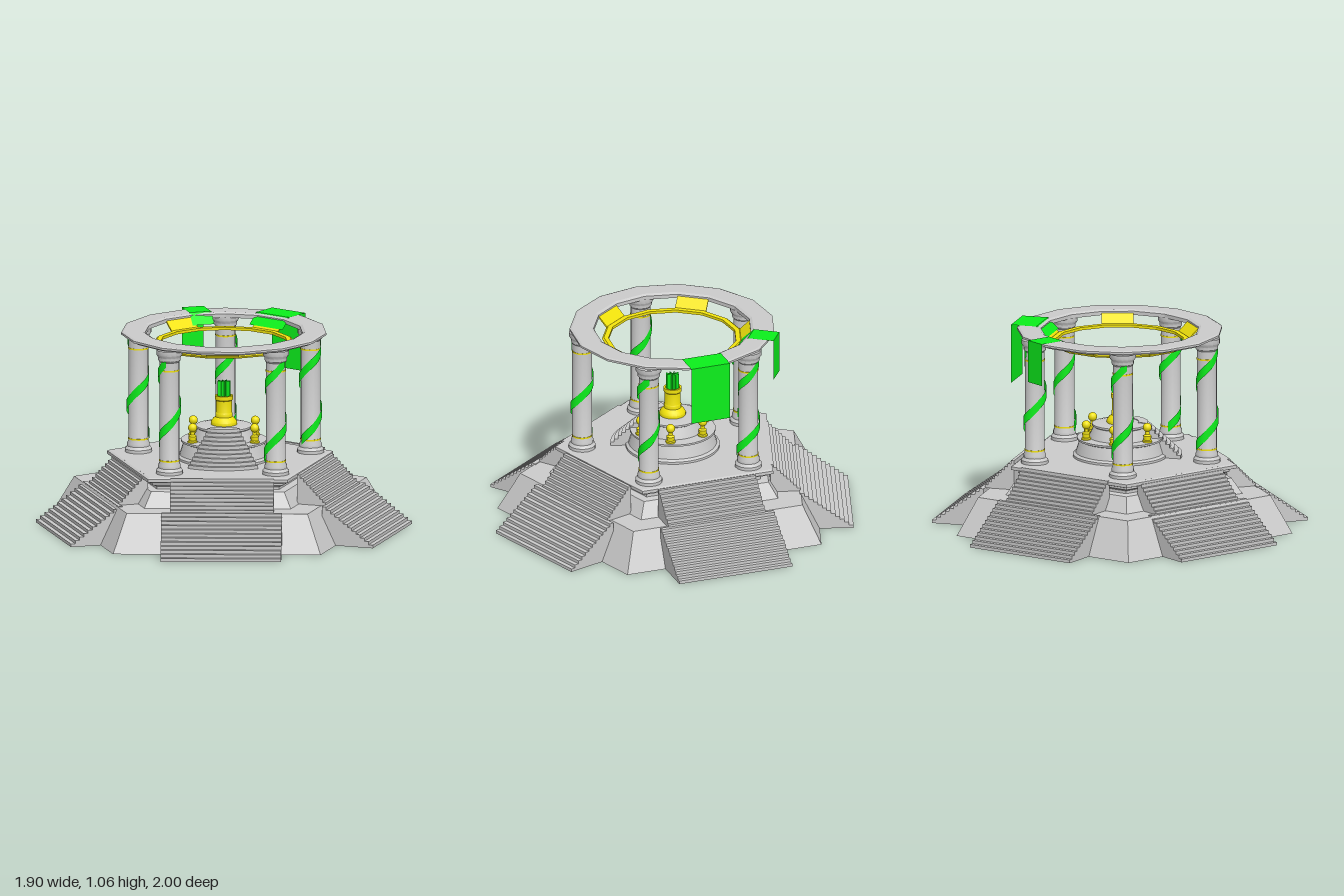
import * as THREE from 'three';
import { toCreasedNormals } from 'three/addons/utils/BufferGeometryUtils.js';

const TAU = Math.PI * 2;
const mat = (color, flatShading = false) =>
  new THREE.MeshStandardMaterial({ color, flatShading, side: THREE.DoubleSide });
const stone = mat(0xcccccc), facetedStone = mat(0xcccccc, true);
const gold = mat(0xf2e30c), facetedGold = mat(0xf2e30c, true);
const green = mat(0x0cf01c);

function add(parent, name, geometry, material) {
  const mesh = new THREE.Mesh(geometry, material);
  mesh.name = name;
  parent.add(mesh);
  return mesh;
}

// Group turned about the centre; its +x axis points outward
function spoke(parent, name, degrees) {
  const g = new THREE.Group();
  g.name = name;
  g.rotation.y = THREE.MathUtils.degToRad(degrees);
  parent.add(g);
  return g;
}

// Lathe from [radius, y] pairs, with the first corner on +x
function turned(profile, sides) {
  const pts = profile.map(([r, y]) => new THREE.Vector2(r, y));
  return toCreasedNormals(new THREE.LatheGeometry(pts, sides, Math.PI / 2), 0.6);
}

// Solid flight of steps climbing inward from r0 to r1
function stairs(r0, r1, y0, y1, steps, halfWidth) {
  const s = new THREE.Shape();
  s.moveTo(r1, y0);
  s.lineTo(r0, y0);
  for (let i = 0; i < steps; i++) {
    const r = r0 + ((r1 - r0) * i) / steps;
    const y = y0 + ((y1 - y0) * (i + 1)) / steps;
    s.lineTo(r, y);
    s.lineTo(r + (r1 - r0) / steps, y);
  }
  s.closePath();
  return new THREE.ExtrudeGeometry(s, { depth: halfWidth * 2, bevelEnabled: false })
    .translate(0, 0, -halfWidth);
}

// Vine ribbon winding up a column
function vine() {
  const g = new THREE.PlaneGeometry(1, 1, 48, 1);
  const p = g.attributes.position;
  for (let i = 0; i < p.count; i++) {
    const t = p.getX(i) + 0.5;
    const y = 0.43 + 0.54 * t;
    const a = ((y - 0.5) / 0.36) * TAU;
    const r = 0.059 + 0.004 * Math.sin(t * 25);
    p.setXYZ(i, Math.sin(a) * r, y + p.getY(i) * 0.055, Math.cos(a) * r);
  }
  g.computeVertexNormals();
  return g;
}

// Cloth strip draped over the roof ring, following [radius, y] points
function drape(path, halfWidth) {
  const g = new THREE.PlaneGeometry(1, 1, path.length - 1, 1);
  const p = g.attributes.position;
  for (let i = 0; i < p.count; i++) {
    const [r, y] = path[i % path.length];
    p.setXYZ(i, r, y, Math.sign(p.getY(i)) * halfWidth);
  }
  return toCreasedNormals(g, 0.3);
}

// Altar steps: stacked sectors of a disc
function sector(r, a0, a1, height) {
  const s = new THREE.Shape();
  s.absarc(0, 0, r, a0, a1, false);
  s.absarc(0, 0, 0.1, a1, a0, true);
  return new THREE.ExtrudeGeometry(s, { depth: height, bevelEnabled: false, curveSegments: 10 })
    .rotateX(-Math.PI / 2);
}

export function createModel() {
  const model = new THREE.Group();
  model.name = 'pavilion';
  model.position.x = -0.01;
  const root = new THREE.Group();
  root.name = 'temple';
  root.add(model);

  // Hollow, tiered five-sided base
  const base = add(model, 'base', turned([
    [0.936, 0], [0.815, 0.2], [0.66, 0.2], [0.6, 0.28], [0.55, 0.285], [0.55, 0.3],
    [0.59, 0.315], [0.59, 0.325], [0.63, 0.335], [0.63, 0.352], [0.615, 0.358], [0.001, 0.358],
  ], 5), facetedStone);
  base.position.x = -0.025;

  // Two flights of stairs on each side
  for (let i = 0; i < 5; i++) {
    const side = spoke(model, 'stairs', 36 + i * 72);
    add(side, 'lowerStairs', stairs(0.945, 0.66, 0, 0.205, 12, 0.32), facetedStone);
    add(side, 'upperStairs', stairs(0.665, 0.505, 0.2, 0.358, 9, 0.275), facetedStone);
  }

  // Columns with gold bands and vines
  const columnShape = turned([
    [0.072, 0.355], [0.072, 0.375], [0.06, 0.39], [0.06, 0.405], [0.053, 0.42], [0.053, 0.965],
    [0.06, 0.975], [0.06, 0.99], [0.07, 1.005], [0.07, 1.03],
  ], 16);
  const vineShape = vine();
  for (let i = 0; i < 5; i++) {
    const column = new THREE.Group();
    column.name = 'column';
    column.position.x = 0.48;
    spoke(model, 'columnPlace', i * 72).add(column);
    add(column, 'shaft', columnShape, stone);
    add(column, 'vine', vineShape, green);
    for (const y of [0.43, 0.92])
      add(column, 'band', new THREE.CylinderGeometry(0.055, 0.055, 0.008, 16), gold).position.y = y;
  }

  // Roof ring and the gold ring held inside it by sloping panels
  add(model, 'roofRing', turned([
    [0.42, 1.025], [0.52, 1.025], [0.527, 1.037], [0.547, 1.037], [0.547, 1.048],
    [0.535, 1.053], [0.435, 1.053], [0.42, 1.045], [0.42, 1.025],
  ], 15), facetedStone);
  add(model, 'goldRing', turned([
    [0.34, 0.975], [0.37, 0.975], [0.375, 0.985], [0.365, 0.992], [0.34, 0.99], [0.34, 0.975],
  ], 15), facetedGold);
  for (let i = 0; i < 5; i++) {
    const panel = add(spoke(model, 'panelPlace', 36 + i * 72), 'goldPanel',
      new THREE.BoxGeometry(0.08, 0.008, 0.17), facetedGold);
    panel.position.set(0.387, 1.008, 0);
    panel.rotation.z = 0.75;
  }

  // Draped cloths
  const clothPath = (bottom) => [[0.37, 1.0], [0.43, 1.057], [0.57, 1.057], [0.57, bottom]];
  add(spoke(model, 'wideClothPlace', 36), 'wideCloth', drape(clothPath(0.74), 0.11), green);
  add(spoke(model, 'narrowClothPlace', 90), 'narrowCloth', drape(clothPath(0.83), 0.06), green);

  // Round altar
  add(model, 'altar', turned([
    [0.25, 0.355], [0.25, 0.37], [0.235, 0.38], [0.215, 0.445], [0.228, 0.45], [0.228, 0.46],
    [0.165, 0.462], [0.16, 0.475], [0.14, 0.52], [0.148, 0.525], [0.148, 0.535],
    [0.12, 0.54], [0.001, 0.54],
  ], 32), stone);
  const mid = THREE.MathUtils.degToRad(252), spread = THREE.MathUtils.degToRad(34);
  const steps = 10;
  for (let i = 0; i < steps; i++)
    add(model, 'altarStep',
      sector(0.33 - 0.02 * i, mid - spread, mid + spread, (0.185 * (i + 1)) / steps),
      facetedStone).position.y = 0.358;

  // Central brazier with crossed flame blades
  add(model, 'brazier', turned([
    [0.07, 0.54], [0.07, 0.555], [0.06, 0.57], [0.046, 0.582], [0.046, 0.6], [0.043, 0.605],
    [0.043, 0.67], [0.048, 0.675], [0.048, 0.697], [0.038, 0.697], [0.036, 0.68], [0.001, 0.68],
  ], 20), gold);
  for (let i = 0; i < 4; i++) {
    const flame = add(model, 'flame', new THREE.PlaneGeometry(0.07, 0.1), green);
    flame.position.y = 0.725;
    flame.rotation.y = (i * Math.PI) / 4;
  }

  // Five small lamps around the altar steps
  const lampBase = turned([
    [0.026, 0.46], [0.026, 0.468], [0.02, 0.473], [0.022, 0.495], [0.012, 0.503], [0.01, 0.53],
  ], 12);
  for (let i = 1; i < 6; i++) {
    const lamp = new THREE.Group();
    lamp.name = 'lamp';
    lamp.position.x = 0.19;
    spoke(model, 'lampPlace', 252 + i * 60).add(lamp);
    add(lamp, 'lampBase', lampBase, gold);
    add(lamp, 'lampGlobe', new THREE.SphereGeometry(0.024, 14, 10), gold).position.y = 0.54;
  }
  return root;
}
